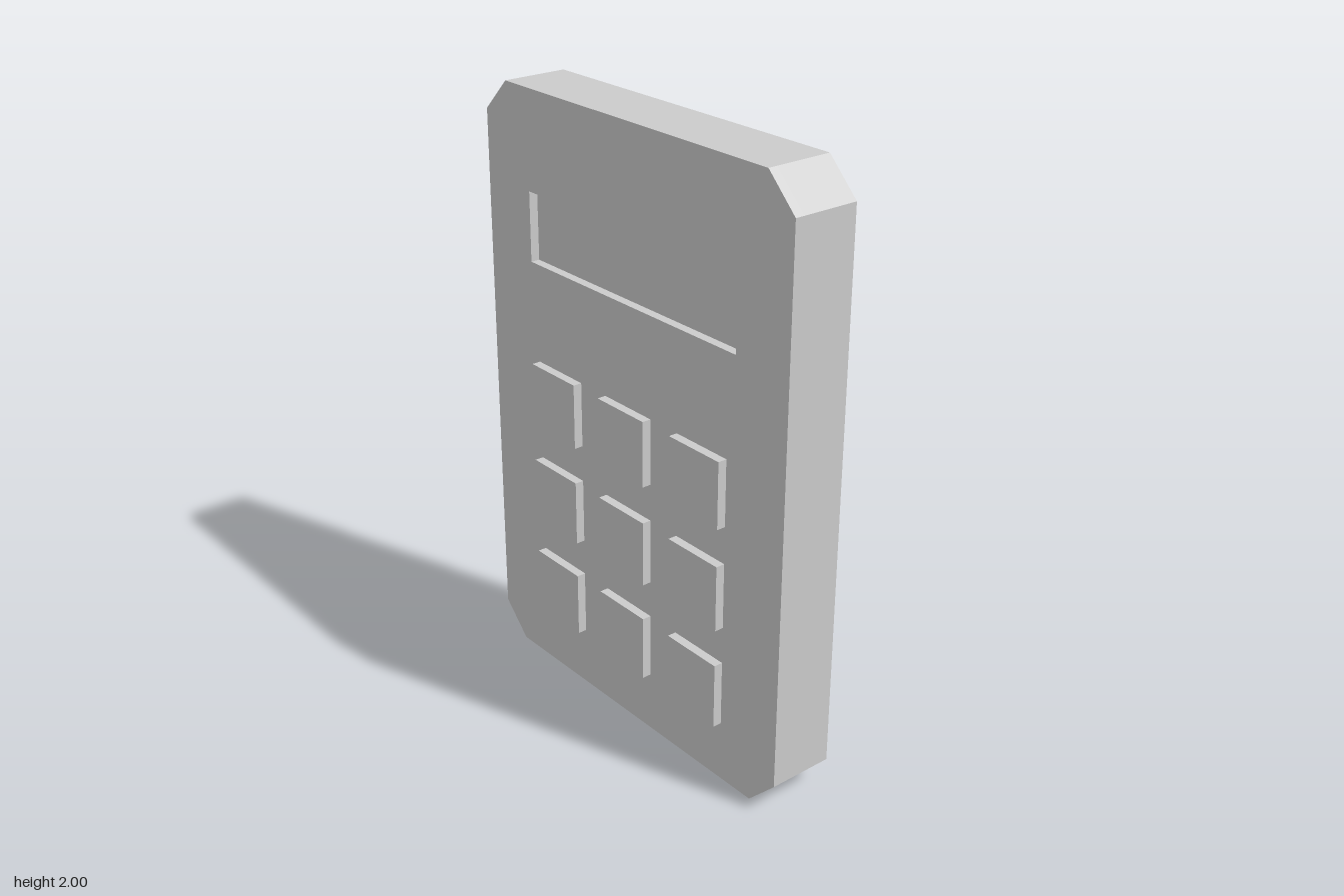
import * as THREE from 'three';

const BACK = -0.125, FACE = 0.095, RECESS = 0.03;
const material = new THREE.MeshStandardMaterial({ color: 0xcccccc, flatShading: true });

const polygon = (points, Type = THREE.Shape) => new Type(points.map(([x, y]) => new THREE.Vector2(x, y)));

// Rectangular outline with cut corners
function outline() {
  const l = -0.7, r = 0.695, c = 0.107;
  return polygon([
    [l + c, 0], [r - c, 0], [r, c], [r, 2 - c],
    [r - c, 2], [l + c, 2], [l, 2 - c], [l, c],
  ]);
}

function addSlab(group, name, shape, z0, z1) {
  const geometry = new THREE.ExtrudeGeometry(shape, { depth: z1 - z0, bevelEnabled: false });
  const mesh = new THREE.Mesh(geometry, material);
  mesh.name = name;
  mesh.position.z = z0;
  group.add(mesh);
}

export function createModel() {
  const model = new THREE.Group();
  model.name = 'calculator';

  // Case: its front is the floor of the display recess
  addSlab(model, 'case', outline(), BACK, FACE - RECESS);

  // Front plate with the display opening
  const plate = outline();
  plate.holes.push(polygon([[-0.485, 1.445], [-0.485, 1.675], [0.48, 1.675], [0.48, 1.445]], THREE.Path));
  addSlab(model, 'frontPlate', plate, FACE - RECESS, FACE);

  // Three by three keypad
  const keypad = new THREE.Group();
  keypad.name = 'keypad';
  const keyGeometry = new THREE.BoxGeometry(0.22, 0.22, 0.03);
  for (let row = 0; row < 3; row++) {
    for (let col = 0; col < 3; col++) {
      const key = new THREE.Mesh(keyGeometry, material);
      key.name = `key${row * 3 + col + 1}`;
      key.position.set(-0.345 + col * 0.343, 1.003 - row * 0.344, FACE + 0.015);
      keypad.add(key);
    }
  }
  model.add(keypad);
  return model;
}
